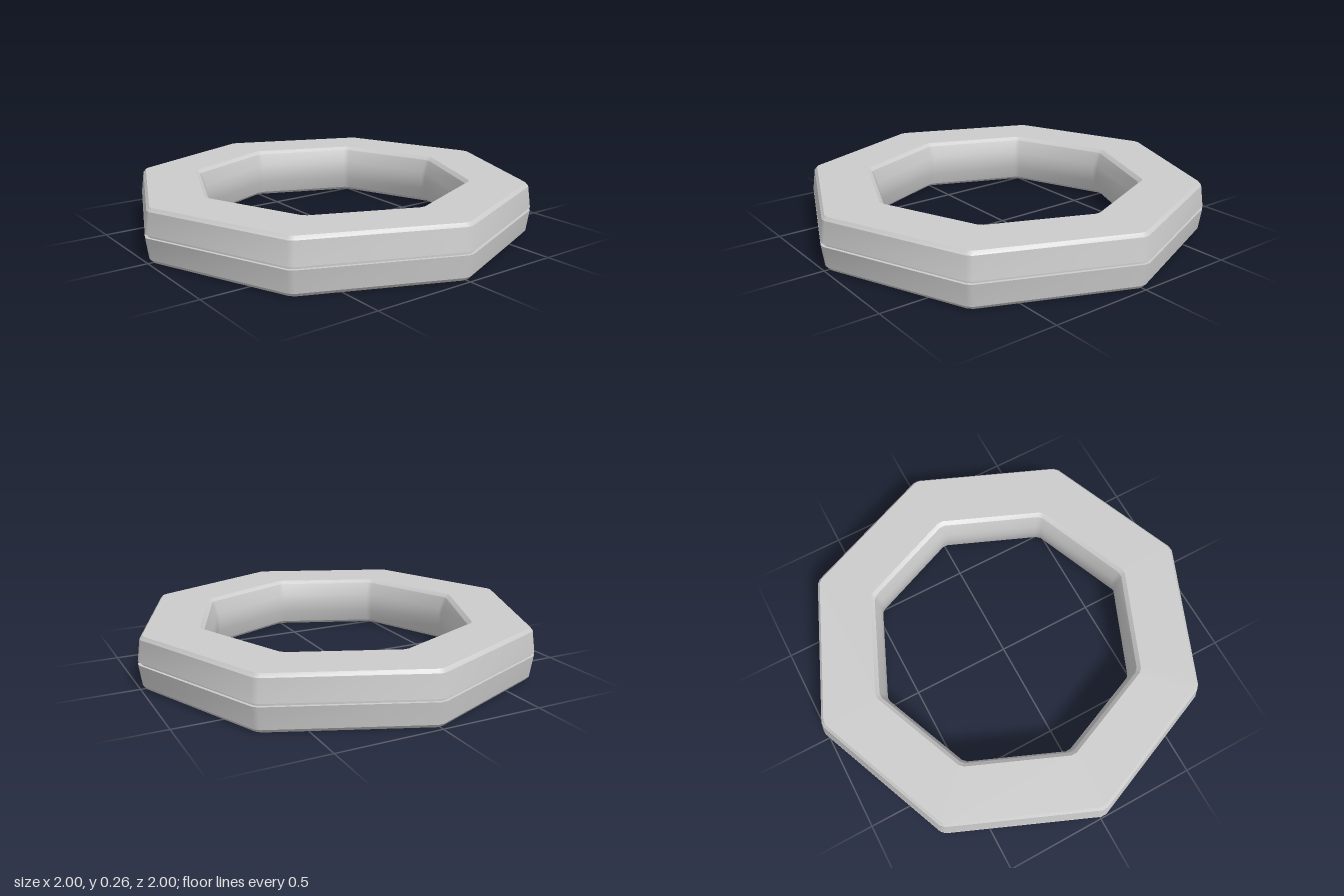
import * as THREE from 'three';
import { toCreasedNormals } from 'three/addons/utils/BufferGeometryUtils.js';

const SIDES = 8;

// Sweep a closed [radius, height] profile around an octagon with clipped corners
function octagonSweep(profile, clip) {
  const positions = [];
  const index = [];
  const around = SIDES * 2;
  for (const [r, y] of profile) {
    for (let k = 0; k < SIDES; k++) {
      const a = (k * Math.PI * 2) / SIDES;
      for (const w of [-clip, clip]) {
        positions.push(
          r * Math.cos(a) - w * Math.sin(a),
          y,
          r * Math.sin(a) + w * Math.cos(a)
        );
      }
    }
  }
  for (let i = 0; i < profile.length; i++) {
    const next = (i + 1) % profile.length;
    for (let j = 0; j < around; j++) {
      const k = (j + 1) % around;
      const a = i * around + j, b = next * around + j;
      const c = next * around + k, d = i * around + k;
      index.push(a, b, d, b, c, d);
    }
  }
  const geometry = new THREE.BufferGeometry();
  geometry.setAttribute('position', new THREE.Float32BufferAttribute(positions, 3));
  geometry.setIndex(index);
  return toCreasedNormals(geometry, 0.52);
}

export function createModel() {
  const group = new THREE.Group();
  group.name = 'octagonalRing';

  const height = 0.256;
  // Lower half, from the middle of the outer groove down to the bore
  const half = [
    [0.985, 0.121], // groove floor
    [1.0, 0.121],   // groove lip
    [0.985, 0.016], // tapered outer wall
    [0.971, 0],     // outer bevel
    [0.697, 0],     // inner bevel
    [0.677, 0.016],
    [0.655, 0.08],  // bulging bore
  ];
  const upper = half.map(([r, y]) => [r, height - y]);
  const profile = [...upper, [0.65, height / 2], ...half.reverse()];

  const ring = new THREE.Mesh(
    octagonSweep(profile, 0.014),
    new THREE.MeshStandardMaterial({ color: 0xcccccc })
  );
  ring.name = 'ring';
  group.add(ring);
  return group;
}
